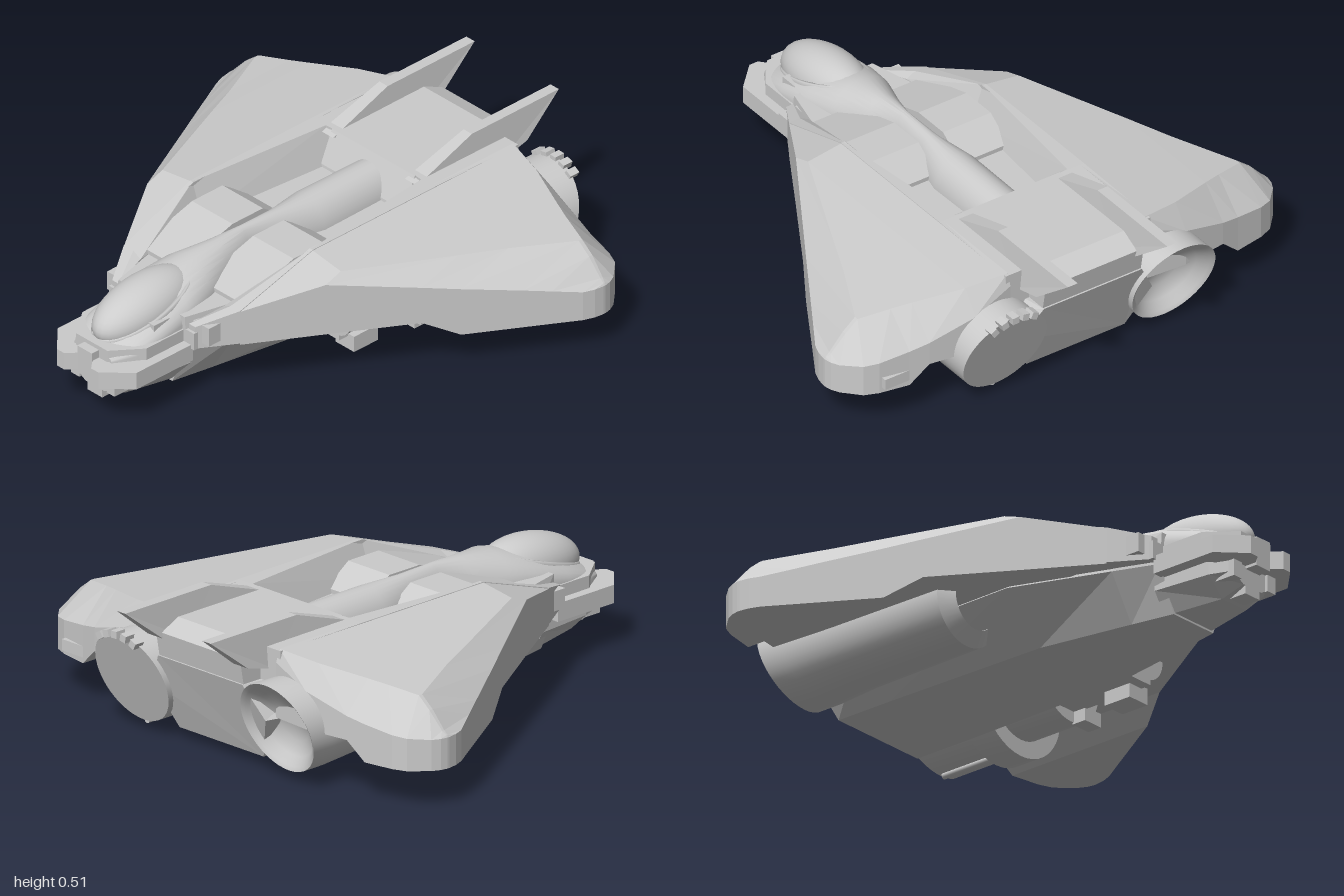
import * as THREE from 'three';
import { toCreasedNormals } from 'three/addons/utils/BufferGeometryUtils.js';

const flat = new THREE.MeshStandardMaterial({ color: 0xcccccc, flatShading: true, side: THREE.DoubleSide });
const smooth = new THREE.MeshStandardMaterial({ color: 0xcccccc, side: THREE.DoubleSide });

// Skin a row of closed cross-sections (arrays of [x, y, z]) and cap both ends.
function loft(sections) {
  const n = sections[0].length, last = (sections.length - 1) * n, index = [];
  for (let i = 0; i < sections.length - 1; i++) {
    for (let j = 0; j < n; j++) {
      const a = i * n + j, b = i * n + (j + 1) % n;
      index.push(a, b, b + n, a, b + n, a + n);
    }
  }
  for (let j = 1; j < n - 1; j++) {
    index.push(0, j + 1, j, last, last + j, last + j + 1);
  }
  const geo = new THREE.BufferGeometry();
  geo.setAttribute('position', new THREE.Float32BufferAttribute(sections.flat(2), 3));
  geo.setIndex(index);
  geo.computeVertexNormals();
  return geo;
}

// Turn a (z, y) side profile into a slab between two x positions.
function slab(points, x0, x1) {
  const shape = new THREE.Shape(points.map(([z, y]) => new THREE.Vector2(-z, y)));
  return new THREE.ExtrudeGeometry(shape, { depth: x1 - x0, bevelEnabled: false })
    .rotateY(Math.PI / 2).translate(x0, 0, 0);
}

// Box given by its limits on each axis.
function block(x0, x1, y0, y1, z0, z1) {
  return new THREE.BoxGeometry(x1 - x0, y1 - y0, z1 - z0)
    .translate((x0 + x1) / 2, (y0 + y1) / 2, (z0 + z1) / 2);
}

// Engine turned around z from [radius, z] pairs; the tail end is raked.
function engine(points, x, y) {
  const geo = new THREE.LatheGeometry(points.map(p => new THREE.Vector2(...p)), 40).rotateX(Math.PI / 2);
  const p = geo.attributes.position;
  for (let i = 0; i < p.count; i++) {
    const t = THREE.MathUtils.clamp((-0.52 - p.getZ(i)) / 0.2, 0, 1);
    p.setZ(i, p.getZ(i) + p.getY(i) * -0.34 * t);
  }
  return toCreasedNormals(geo.translate(x, y, 0), 0.6);
}

export function createModel() {
  const model = new THREE.Group();
  const add = (name, geo, mat = flat, parent = model) => {
    const mesh = new THREE.Mesh(geo, mat);
    mesh.name = name;
    parent.add(mesh);
    return mesh;
  };

  // Everything here appears on both sides
  const half = new THREE.Group();
  half.name = 'leftSide';

  // Wing: x, leading z, leading y, front crease z, crease y, rear crease z, trailing z, trailing y, bottom y
  const wing = [
    [0.28, 0.52, 0.335, 0.2, 0.445, -0.735, -0.75, 0.4, 0.205],
    [0.43, 0.27, 0.4, 0.2, 0.424, -0.7, -0.76, 0.34, 0.205],
    [0.6, -0.01, 0.344, -0.18, 0.398, -0.635, -0.735, 0.29, 0.205],
    [0.67, -0.125, 0.32, -0.34, 0.387, -0.61, -0.72, 0.275, 0.14],
    [0.78, -0.307, 0.285, -0.56, 0.37, -0.575, -0.7, 0.26, 0.14],
    [0.83, -0.39, 0.268, -0.56, 0.33, -0.575, -0.68, 0.255, 0.14],
    [0.885, -0.48, 0.25, -0.56, 0.27, -0.57, -0.62, 0.25, 0.14],
    [0.9, -0.52, 0.25, -0.56, 0.257, -0.565, -0.59, 0.25, 0.14],
    [0.905, -0.555, 0.25, -0.56, 0.25, -0.562, -0.565, 0.25, 0.14]
  ];
  add('wing', loft(wing.map(([x, lz, ly, cz, cy, rz, tz, ty, b]) =>
    [[x, b, lz], [x, ly, lz], [x, cy, cz], [x, cy, rz], [x, ty, tz], [x, b, tz]])), flat, half);

  // Shoulder beside the cockpit channel: z, inner foot x, ridge x, outer x, ridge y
  const shoulder = [
    [0.65, 0.17, 0.185, 0.2, 0.295], [0.52, 0.2, 0.235, 0.28, 0.338],
    [0.2, 0.24, 0.285, 0.295, 0.445], [-0.36, 0.19, 0.23, 0.295, 0.445],
    [-0.365, 0.16, 0.17, 0.295, 0.445], [-0.745, 0.16, 0.17, 0.295, 0.442]
  ];
  add('shoulder', loft(shoulder.map(([z, xi, xr, xo, y]) =>
    [[xi, 0.21, z], [xi, Math.min(y, 0.32), z], [xr, y, z], [xo, y, z], [xo, 0.21, z]])), flat, half);

  // Tail fin, thinner towards the top edge
  const fin = slab([[-0.34, 0.43], [-0.6, 0.515], [-1, 0.515], [-0.84, 0.39], [-0.72, 0.36]], -0.5, 0.5);
  const fp = fin.attributes.position;
  for (let i = 0; i < fp.count; i++) {
    const t = THREE.MathUtils.clamp((fp.getY(i) - 0.39) / 0.125, 0, 1);
    fp.setX(i, 0.203 + fp.getX(i) * (0.07 - 0.03 * t));
  }
  add('tailFin', fin, flat, half);

  // Raised equipment block beside the spine, and the stub at the front of the shoulder
  add('cockpitCheek', slab([[0, 0.28], [0, 0.335], [0.1, 0.405], [0.24, 0.405], [0.48, 0.335], [0.48, 0.28]], 0.05, 0.245), flat, half);
  add('shoulderStub', block(0.14, 0.245, 0.23, 0.3, 0.57, 0.63), flat, half);
  add('shoulderLug', block(0.15, 0.205, 0.21, 0.275, 0.6, 0.66), flat, half);
  model.add(half);
  const other = half.clone();
  other.name = 'rightSide';
  other.scale.x = -1;
  model.add(other);

  // Keel hull: bottom z, bottom half width, side half width, top half width, rake towards the top
  const hull = [
    [0.66, 0.1, 0.17, 0.16, 0], [0.5, 0.13, 0.23, 0.2, 0], [0.15, 0.19, 0.36, 0.26, 0],
    [-0.5, 0.2, 0.35, 0.26, 0], [-0.73, 0.2, 0.27, 0.2, -0.1]
  ];
  add('hull', loft(hull.map(([z, b, s, t, r]) => [
    [-b, 0.04, z], [b, 0.04, z], [s, 0.2, z + r * 0.6], [t, 0.32, z + r],
    [-t, 0.32, z + r], [-s, 0.2, z + r * 0.6]])));
  add('rearDeck', slab([[-0.3, 0.25], [-0.31, 0.33], [-0.36, 0.445], [-0.76, 0.445], [-0.84, 0.41], [-0.82, 0.3], [-0.7, 0.25]], -0.2, 0.2));

  // Spine and cockpit body: z, half width, top y, belly y
  const body = [
    [-0.34, 0.09, 0.42, 0.28], [-0.05, 0.095, 0.42, 0.28], [0.1, 0.055, 0.42, 0.28],
    [0.25, 0.04, 0.425, 0.28], [0.37, 0.08, 0.42, 0.24], [0.5, 0.125, 0.415, 0.2],
    [0.62, 0.148, 0.385, 0.18], [0.75, 0.15, 0.34, 0.17], [0.85, 0.14, 0.295, 0.17], [0.93, 0.09, 0.255, 0.18]
  ];
  add('cockpitBody', toCreasedNormals(loft(body.map(([z, w, top, low]) => {
    const ring = [[-w, low, z], [w, low, z]];
    const mid = Math.min(0.3, (low + top) / 2 + 0.01);
    for (let i = 0; i <= 16; i++) {
      const a = Math.PI * i / 16;
      ring.push([w * Math.cos(a), mid + (top - mid) * Math.sin(a), z]);
    }
    return ring;
  })), 0.6), smooth);

  // Canopy glass with its frame
  const canopy = add('canopy', new THREE.SphereGeometry(1, 32, 20), smooth);
  canopy.scale.set(0.108, 0.1, 0.215);
  canopy.position.set(0, 0.315, 0.7);
  canopy.rotation.x = 0.14;
  const frame = add('canopyFrame', new THREE.TorusGeometry(1, 0.09, 6, 36).rotateX(Math.PI / 2), smooth);
  frame.scale.set(0.107, 0.16, 0.205);
  frame.position.set(0, 0.325, 0.7);
  frame.rotation.x = 0.3;
  add('canopyLatch', block(0.1, 0.128, 0.27, 0.32, 0.7, 0.77));

  // Nose collar, open at the back
  const outline = [[-0.19, 0.65], [-0.19, 0.91], [-0.1, 1], [-0.065, 1], [-0.035, 0.965], [0.035, 0.965], [0.065, 1], [0.1, 1],
    [0.19, 0.91], [0.19, 0.65], [0.145, 0.65], [0.145, 0.84], [0.08, 0.91], [-0.08, 0.91], [-0.145, 0.84], [-0.145, 0.65]];
  const collar = (points, y0, y1) => new THREE.ExtrudeGeometry(
    new THREE.Shape(points.map(([x, z]) => new THREE.Vector2(x, -z))), { depth: y1 - y0, bevelEnabled: false })
    .rotateX(-Math.PI / 2).translate(0, y0, 0);
  add('noseCollar', collar(outline, 0.16, 0.225));
  add('noseBand', collar([[-0.155, 0.62], [-0.155, 0.83], [-0.075, 0.935], [0.075, 0.935], [0.155, 0.83], [0.155, 0.62]], 0.17, 0.27));
  add('noseSensor', block(-0.035, 0.035, 0.15, 0.255, 0.9, 0.968));

  // Chin under the nose, stepped towards the front
  const chin = [[0.62, 0.1, 0.15, 0.045], [0.84, 0.06, 0.13, 0.055], [0.92, 0.045, 0.1, 0.09]];
  add('chin', loft(chin.map(([z, b, t, y]) =>
    [[-b, y, z], [b, y, z], [t, 0.12, z], [t, 0.18, z], [-t, 0.18, z], [-t, 0.12, z]])));
  add('chinSensor', block(-0.035, 0.035, 0.06, 0.1, 0.82, 0.92));
  for (const s of [-1, 1]) {
    add('chinRib', block(s * 0.085 - 0.02, s * 0.085 + 0.02, 0.1, 0.16, 0.8, 0.93));
  }

  // Left engine: stepped barrel, closed raked nozzle
  add('leftEngine', engine([[0, 0.15], [0.085, 0.15], [0.085, -0.18], [0.14, -0.18], [0.14, -0.4], [0.2, -0.4], [0.2, -0.51],
    [0.165, -0.51], [0.165, -0.72], [0.165, -0.81], [0, -0.81]], 0.345, 0.2), smooth);
  add('enginePylon', block(0.25, 0.37, 0.1, 0.22, -0.35, 0.15));
  add('enginePod', block(0.31, 0.4, 0.05, 0.11, 0, 0.11));
  add('engineValve', block(0.36, 0.44, 0.055, 0.105, -0.185, -0.13));
  add('engineValveCap', block(0.43, 0.455, 0.068, 0.092, -0.17, -0.145));
  add('exhaustPipe', new THREE.CylinderGeometry(0.012, 0.012, 0.24, 8).rotateX(Math.PI / 2).translate(0.345, 0.03, -0.62), smooth);
  for (let i = 0; i < 5; i++) {
    const a = 1.02 + i * 0.25, r = 0.167;
    const y = r * Math.sin(a);
    const tooth = add('nozzleTooth', new THREE.BoxGeometry(0.026, 0.025, 0.04));
    tooth.position.set(0.345 + r * Math.cos(a), 0.2 + y, -0.81 - 0.34 * y);
    tooth.rotation.z = a - Math.PI / 2;
  }

  // Right engine: plain barrel with an open intake and a dished nozzle
  add('rightEngine', engine([[0, -0.1], [0.095, -0.1], [0.1, 0], [0.15, -0.04], [0.155, -0.51], [0.165, -0.72], [0.165, -0.81],
    [0.15, -0.8], [0.12, -0.765], [0.07, -0.735], [0, -0.725]], -0.345, 0.2), smooth);

  // Vent box on the trailing edge of the left wing
  add('wingVent', block(0.66, 0.77, 0.16, 0.2, -0.72, -0.68));
  return model;
}
